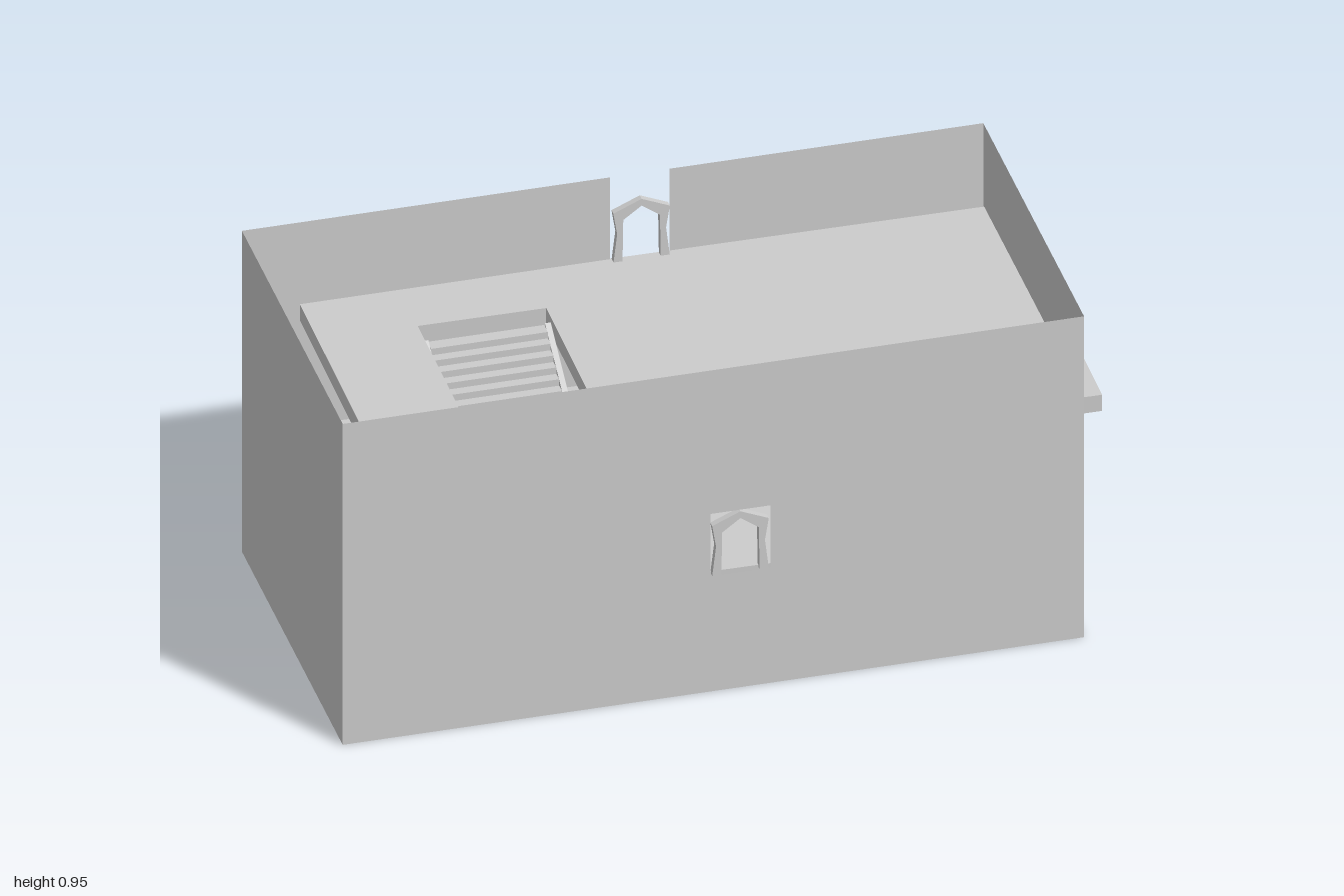
import * as THREE from 'three';

const grey = new THREE.MeshStandardMaterial({ color: 0xcccccc, flatShading: true, side: THREE.DoubleSide });

// Outer shell limits
const L = -1, R = 0.94, BACK = -0.473, FRONT = 0.485, H = 0.953;
// Opening limits shared by the window and both doors
const OX0 = -0.037, OX1 = 0.119, OH = 0.185, OC = (OX0 + OX1) / 2;
const FLOOR2 = 0.71, FLOOR1 = 0.35, SLAB = 0.048, TILT = -0.0103;

const shapeOf = (pts) => new THREE.Shape(pts.map(([x, y]) => new THREE.Vector2(x, y)));
const rect = (x0, y0, x1, y1) => shapeOf([[x0, y0], [x1, y0], [x1, y1], [x0, y1]]);

function add(parent, name, geometry, x = 0, y = 0, z = 0) {
  const mesh = new THREE.Mesh(geometry, grey);
  mesh.name = name;
  mesh.position.set(x, y, z);
  parent.add(mesh);
  return mesh;
}

// Floor slab, turned very slightly so that its edges break through the walls
function addSlab(parent, name, x0, x1, top, hole) {
  const cx = (x0 + x1) / 2, w = (x1 - x0) / 2;
  const shape = rect(-w, -0.472, w, 0.474);
  if (hole) shape.holes.push(rect(hole.x0 - cx, -hole.z1, hole.x1 - cx, -hole.z0));
  const geo = new THREE.ExtrudeGeometry(shape, { depth: SLAB, bevelEnabled: false });
  geo.rotateX(-Math.PI / 2);
  add(parent, name, geo, cx, top - SLAB, 0).rotation.y = TILT;
}

// Pointed arch frame with waisted jambs
function addArch(parent, name, y, z) {
  const half = [[0.074, 0], [0.064, 0.085], [0.074, 0.148]];
  const inner = [[0.05, 0], [0.048, 0.125]];
  const mirror = (pts) => pts.map(([x, v]) => [-x, v]).reverse();
  const shape = shapeOf([
    ...half, [0, 0.18], ...mirror(half),
    ...mirror(inner).reverse(), [0, 0.16], ...inner.slice().reverse(),
  ]);
  add(parent, name, new THREE.ExtrudeGeometry(shape, { depth: 0.018, bevelEnabled: false }), OC, y, z);
}

export function createModel() {
  const model = new THREE.Group();
  model.name = 'building';

  // Thin outer walls and base
  const walls = new THREE.Group();
  walls.name = 'walls';
  model.add(walls);

  const frontShape = rect(L, 0, R, H);
  frontShape.holes.push(rect(OX0, 0.342, OX1, 0.342 + OH));
  add(walls, 'frontWall', new THREE.ShapeGeometry(frontShape), 0, 0, FRONT);

  // Back wall has a door at the ground and a slot open to the top
  const backShape = shapeOf([
    [L, 0], [OX0, 0], [OX0, OH], [OX1, OH], [OX1, 0], [R, 0], [R, H],
    [OX1, H], [OX1, FLOOR2 - 0.003], [OX0, FLOOR2 - 0.003], [OX0, H], [L, H],
  ]);
  const backGeo = new THREE.ShapeGeometry(backShape);
  backGeo.scale(-1, 1, 1).rotateY(Math.PI);
  const index = backGeo.index.array;
  for (let i = 0; i < index.length; i += 3) [index[i], index[i + 1]] = [index[i + 1], index[i]];
  backGeo.computeVertexNormals();
  add(walls, 'backWall', backGeo, 0, 0, BACK);

  const midZ = (FRONT + BACK) / 2, depth = FRONT - BACK;
  for (const [name, x, turn] of [['leftWall', R, 1], ['rightWall', L, -1]]) {
    add(walls, name, new THREE.PlaneGeometry(depth, H).rotateY(turn * Math.PI / 2), x, H / 2, midZ);
  }
  add(walls, 'base', new THREE.PlaneGeometry(R - L, depth).rotateX(Math.PI / 2), (L + R) / 2, 0, midZ);

  // Floors
  const well = { x0: -0.592, x1: -0.257, z0: -0.287, z1: 0.258 };
  addSlab(model, 'lowerFloor', -0.955, 0.895, FLOOR1 - 0.002);
  addSlab(model, 'upperFloor', -0.853, 0.993, FLOOR2, well);

  // Arched frames
  addArch(model, 'windowFrame', 0.342, FRONT - 0.018);
  addArch(model, 'doorFrame', 0, BACK);
  addArch(model, 'upperDoorFrame', FLOOR2 - 0.003, BACK);

  // Staircase climbing towards the back
  const stairs = new THREE.Group();
  stairs.name = 'stairs';
  model.add(stairs);
  const n = 18, z0 = 0.25, z1 = -0.237, bottom = FLOOR1, top = 0.69;
  const run = (z0 - z1) / n, rise = (top - bottom) / n;
  const cx = (well.x0 + well.x1) / 2, width = well.x1 - well.x0 - 0.03;
  for (let i = 0; i < n; i++) {
    const step = new THREE.BoxGeometry(width, rise, run * 1.3);
    add(stairs, 'step', step, cx, bottom + (i + 0.5) * rise, z0 - (i + 0.65) * run);
  }

  // Sloping side boards
  const board = shapeOf([[-z0 - 0.008, bottom], [-z0 + 0.04, bottom], [-z1, top - 0.03], [-z1, top + 0.01], [-z0 - 0.008, bottom + 0.03]]);
  for (const x of [well.x0, well.x1 - 0.015]) {
    const geo = new THREE.ExtrudeGeometry(board, { depth: 0.015, bevelEnabled: false });
    geo.rotateY(Math.PI / 2);
    add(stairs, 'stringer', geo, x, 0, 0);
  }
  return model;
}
